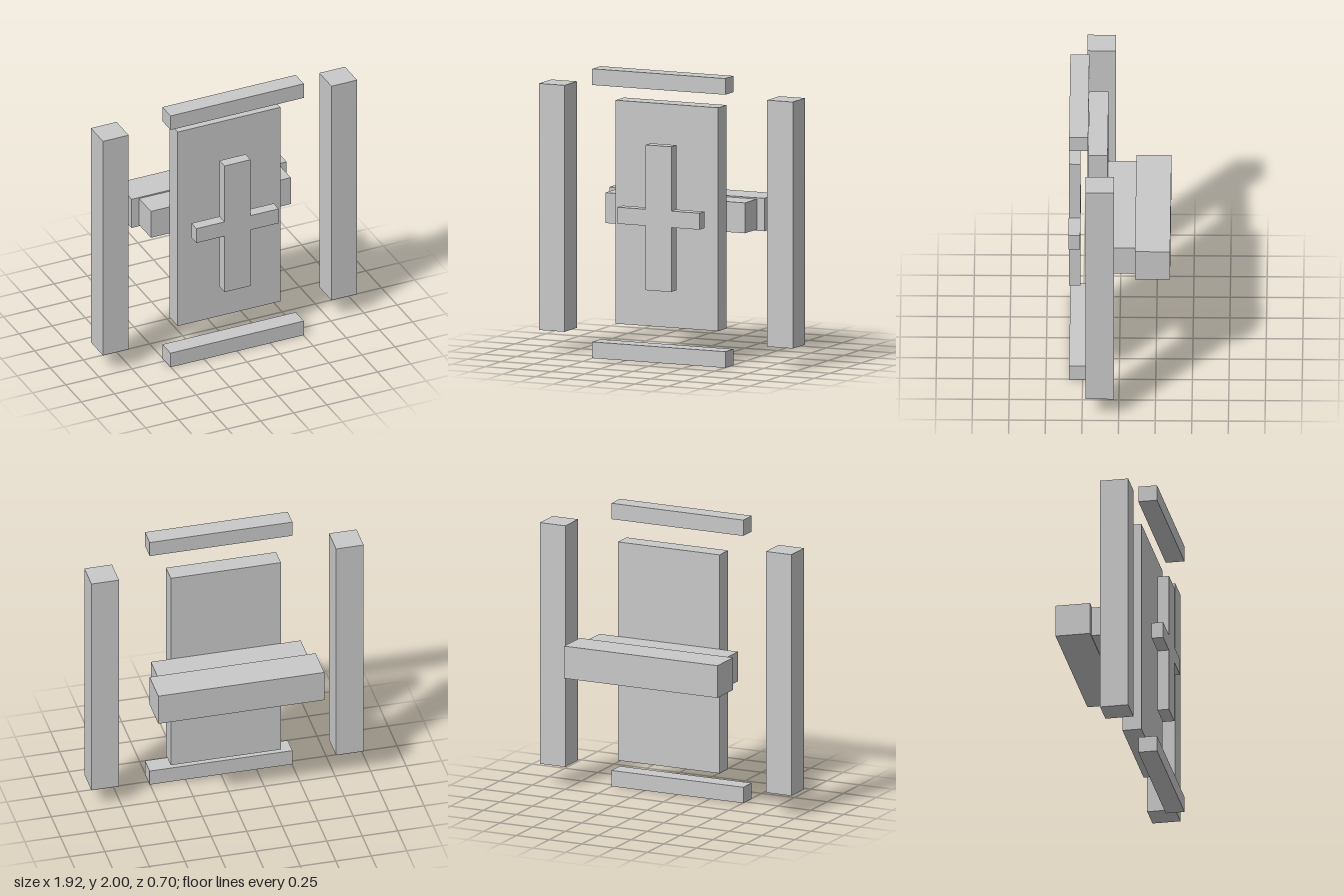
import * as THREE from 'three';

export function createModel() {
  const model = new THREE.Group();
  const grey = new THREE.MeshStandardMaterial({ color: 0xc9c9c9 });
  grey.name = 'lightGrey';

  const add = (name, geometry) => {
    const mesh = new THREE.Mesh(geometry, grey);
    mesh.name = name;
    model.add(mesh);
    return mesh;
  };

  // Box from its lower and upper bounds on each axis
  const block = (name, [x0, x1], [y0, y1], [z0, z1]) =>
    add(name, new THREE.BoxGeometry(x1 - x0, y1 - y0, z1 - z0))
      .position.set((x0 + x1) / 2, (y0 + y1) / 2, (z0 + z1) / 2);

  // Central panel
  block('panel', [-0.388, 0.388], [0.228, 1.772], [0.08, 0.212]);

  // Side posts
  block('leftPost', [0.765, 0.959], [0.148, 1.852], [0.033, 0.228]);
  block('rightPost', [-0.959, -0.765], [0.148, 1.852], [0.033, 0.228]);

  // Top and bottom rails
  block('topRail', [-0.503, 0.503], [1.888, 2], [0.212, 0.342]);
  block('bottomRail', [-0.503, 0.503], [0, 0.112], [0.212, 0.342]);

  // Stepped crossbars behind the panel
  block('innerCrossbar', [-0.528, 0.528], [0.895, 1.105], [-0.108, 0.08]);
  block('outerCrossbar', [-0.585, 0.585], [0.886, 1.114], [-0.348, -0.108]);

  // Cross in front of the panel
  const w = 0.098, h = 0.502, a = 0.31, t = 0.057;
  const outline = [
    [-w, -h], [w, -h], [w, -t], [a, -t], [a, t], [w, t],
    [w, h], [-w, h], [-w, t], [-a, t], [-a, -t], [-w, -t],
  ].map(([x, y]) => new THREE.Vector2(x, y));
  add('cross', new THREE.ExtrudeGeometry(new THREE.Shape(outline), { depth: 0.08, bevelEnabled: false }))
    .position.set(0, 1, 0.268);

  return model;
}
